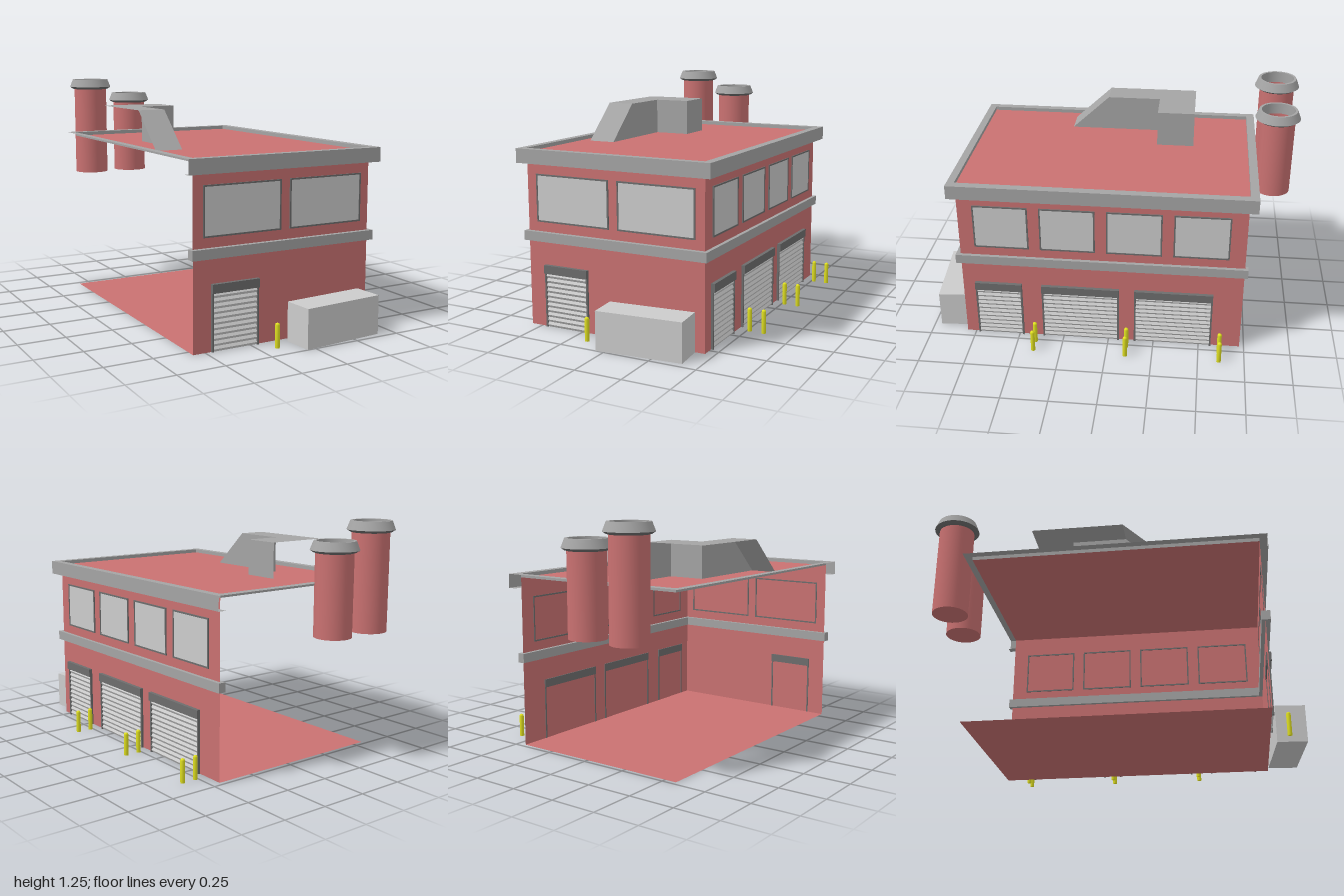
import * as THREE from 'three';

const mat = (color, flat = false) =>
  new THREE.MeshStandardMaterial({ color, flatShading: flat, side: THREE.DoubleSide });
const grey = mat(0xcccccc), slatGrey = mat(0xcccccc, true);
const stone = mat(0xa4a4a4), dark = mat(0x6d6d6d);
const brick = mat(0xc97171), yellow = mat(0xe2e222);

// Wall line positions and heights
const LEFT = -0.565, RIGHT = 0.45, BACK = -0.725, FRONT = 0.8;
const ROOF = 0.92, RIM = 0.94, EAVE = 0.865;

function add(parent, name, geometry, material, x = 0, y = 0, z = 0) {
  const mesh = new THREE.Mesh(geometry, material);
  mesh.name = name;
  mesh.position.set(x, y, z);
  parent.add(mesh);
  return mesh;
}

// Box given by its minimum and maximum corners
function box(parent, name, material, [x0, y0, z0], [x1, y1, z1]) {
  return add(parent, name, new THREE.BoxGeometry(x1 - x0, y1 - y0, z1 - z0), material,
    (x0 + x1) / 2, (y0 + y1) / 2, (z0 + z1) / 2);
}

// Flat polygon with corners counter-clockwise as seen from outside
function panel(parent, name, material, ...corners) {
  const g = new THREE.BufferGeometry();
  g.setAttribute('position', new THREE.Float32BufferAttribute(corners.flat(), 3));
  const index = [];
  for (let i = 1; i < corners.length - 1; i++) index.push(0, i, i + 1);
  g.setIndex(index);
  g.computeVertexNormals();
  return add(parent, name, g, material);
}

// Upright panel facing +z, and upright panel facing +x
const faceZ = (p, n, m, x0, x1, y0, y1, z) =>
  panel(p, n, m, [x0, y0, z], [x1, y0, z], [x1, y1, z], [x0, y1, z]);
const faceX = (p, n, m, z0, z1, y0, y1, x) =>
  panel(p, n, m, [x, y0, z1], [x, y0, z0], [x, y1, z0], [x, y1, z1]);
// Horizontal panel facing up
const faceY = (p, n, m, x0, x1, z0, z1, y) =>
  panel(p, n, m, [x0, y, z1], [x1, y, z1], [x1, y, z0], [x0, y, z0]);

// Group on the front wall, or on the side wall when side is true
function onWall(parent, name, centre, side) {
  const g = new THREE.Group();
  g.name = name;
  if (side) {
    g.rotation.y = Math.PI / 2;
    g.position.set(RIGHT, 0, centre);
  } else g.position.set(centre, 0, FRONT);
  parent.add(g);
  return g;
}

function addWindow(parent, centre, width, side) {
  const g = onWall(parent, 'window', centre, side);
  const w = width / 2, y0 = 0.56, y1 = 0.81, t = 0.008;
  for (const s of [-1, 1])
    box(g, 'windowFrameSide', dark, [s * (w - t / 2) - t / 2, y0, -0.003], [s * (w - t / 2) + t / 2, y1, 0.006]);
  for (const y of [y0, y1 - t])
    box(g, 'windowFrameRail', dark, [-w, y, -0.003], [w, y + t, 0.006]);
  faceZ(g, 'windowPane', grey, -w + t, w - t, y0 + t, y1 - t, 0.003);
}

function addShutter(parent, centre, width, side) {
  const g = onWall(parent, 'rollerDoor', centre, side);
  const w = width / 2, h = 0.29, t = 0.009, slats = 11;
  box(g, 'doorHeader', dark, [-w, h, -0.006], [w, 0.335, 0.02]);
  for (const s of [-1, 1])
    box(g, 'doorJamb', dark, [s * (w - t / 2) - t / 2, 0, -0.003], [s * (w - t / 2) + t / 2, h, 0.012]);
  // Corrugated curtain: every second row of vertices stands forward
  const curtain = new THREE.PlaneGeometry(width - 2 * t, h, 1, slats * 2);
  const p = curtain.attributes.position;
  for (let i = 0; i < p.count; i++) p.setZ(i, Math.floor(i / 2) % 2 ? 0.01 : 0.002);
  add(g, 'doorSlats', curtain, slatGrey, 0, h / 2, 0);
}

// Open pipe with a flared collar
function addStack(parent, x, z, top) {
  const g = new THREE.Group();
  g.name = 'chimney';
  g.position.set(x, 0, z);
  const base = 0.68, r = 0.097, h = top - base - 0.03;
  add(g, 'chimneyPipe', new THREE.CylinderGeometry(r, r, h, 32, 1, true), brick, 0, base + h / 2, 0);
  add(g, 'chimneyBase', new THREE.CircleGeometry(r, 32).rotateX(Math.PI / 2), brick, 0, base, 0);
  const profile = [[r, -0.06], [0.108, -0.057], [0.124, -0.046], [0.106, 0], [0.092, 0], [0.092, -0.06], [r, -0.06]];
  // Separate bands keep the collar edges crisp
  for (let i = 0; i < profile.length - 1; i++) {
    const pts = [profile[i], profile[i + 1]].map(([a, b]) => new THREE.Vector2(a, b));
    add(g, 'chimneyCollar', new THREE.LatheGeometry(pts, 32), i < 2 ? dark : stone, 0, top, 0);
  }
  parent.add(g);
}

function addBollard(parent, x, z) {
  const pts = [[0, 0], [0.012, 0], [0.012, 0.115], [0.009, 0.123], [0, 0.127]].map(([a, b]) => new THREE.Vector2(a, b));
  add(parent, 'bollard', new THREE.LatheGeometry(pts, 12), yellow, x, 0, z);
}

export function createModel() {
  const model = new THREE.Group();
  model.name = 'building';

  // Shell: floor, roof and two walls; the back and far side stay open
  faceY(model, 'floor', brick, LEFT, RIGHT, BACK, FRONT, 0);
  faceY(model, 'roof', brick, LEFT, RIGHT, BACK, FRONT, ROOF);
  faceZ(model, 'frontWall', brick, LEFT, RIGHT, 0, ROOF, FRONT);
  faceX(model, 'sideWall', brick, BACK, FRONT, 0, ROOF, RIGHT);

  // Parapet: rim all round, fascia and soffit only along the two walls
  const x0 = -0.605, x1 = 0.495, z0 = -0.77, z1 = 0.84;
  const parapet = new THREE.Group();
  parapet.name = 'parapet';
  model.add(parapet);
  faceY(parapet, 'rimFront', stone, x0, x1, FRONT, z1, RIM);
  faceY(parapet, 'rimBack', stone, x0, x1, z0, BACK, RIM);
  faceY(parapet, 'rimLeft', stone, x0, LEFT, BACK, FRONT, RIM);
  faceY(parapet, 'rimRight', stone, RIGHT, x1, BACK, FRONT, RIM);
  for (const z of [BACK, FRONT]) faceZ(parapet, 'rimInside', stone, LEFT, RIGHT, ROOF, RIM, z);
  for (const x of [LEFT, RIGHT]) faceX(parapet, 'rimInside', stone, BACK, FRONT, ROOF, RIM, x);
  faceZ(parapet, 'fasciaFront', stone, x0, x1, EAVE, RIM, z1);
  faceX(parapet, 'fasciaSide', stone, z0, z1, EAVE, RIM, x1);
  panel(parapet, 'soffitFront', stone, [x0, EAVE, FRONT], [x1, EAVE, FRONT], [x1, EAVE, z1], [x0, EAVE, z1]);
  panel(parapet, 'soffitSide', stone, [RIGHT, EAVE, z0], [x1, EAVE, z0], [x1, EAVE, FRONT], [RIGHT, EAVE, FRONT]);

  // Belt course between the storeys
  box(model, 'beltFront', stone, [-0.58, 0.46, 0.78], [0.47, 0.51, 0.825]);
  box(model, 'beltSide', stone, [0.43, 0.46, -0.742], [0.47, 0.51, 0.78]);

  // Windows and roller doors
  for (const x of [-0.295, 0.185]) addWindow(model, x, 0.43, false);
  for (let i = 0; i < 4; i++) addWindow(model, 0.572 - i * 0.355, 0.295, true);
  addShutter(model, -0.338, 0.26, false);
  addShutter(model, 0.603, 0.258, true);
  addShutter(model, 0.153, 0.425, true);
  addShutter(model, -0.355, 0.425, true);

  // Roof duct: L-shaped top, sloped end, open towards the back and far side
  const duct = new THREE.Group();
  duct.name = 'roofDuct';
  model.add(duct);
  const T = 1.115, a = -0.51, b = -0.36, c = -0.16, zb = -0.42, zm = -0.215, zf = 0.08, ze = 0.29;
  faceY(duct, 'ductTop', stone, a, b, zb, zf, T);
  faceY(duct, 'ductTopBranch', stone, b, c, zb, zm, T);
  panel(duct, 'ductSlope', stone, [a, ROOF, ze], [b, ROOF, ze], [b, T, zf], [a, T, zf]);
  panel(duct, 'ductSide', stone, [b, ROOF, ze], [b, ROOF, zm], [b, T, zm], [b, T, zf]);
  faceZ(duct, 'ductBranchFront', stone, b, c, ROOF, T, zm);
  faceX(duct, 'ductBranchEnd', stone, zb, zm, ROOF, T, c);

  // Chimneys behind the building
  addStack(model, -0.41, -0.877, 1.252);
  addStack(model, -0.152, -0.877, 1.165);

  // Bollards guarding the doors
  for (const z of [0.4, -0.105, -0.613])
    for (const x of [0.514, 0.592]) addBollard(model, x, z);
  addBollard(model, -0.157, 0.9);

  // Skip standing askew by the front wall
  add(model, 'skip', new THREE.BoxGeometry(0.457, 0.203, 0.16), grey, 0.176, 0.1015, 0.9).rotation.y = 0.08;

  return model;
}
